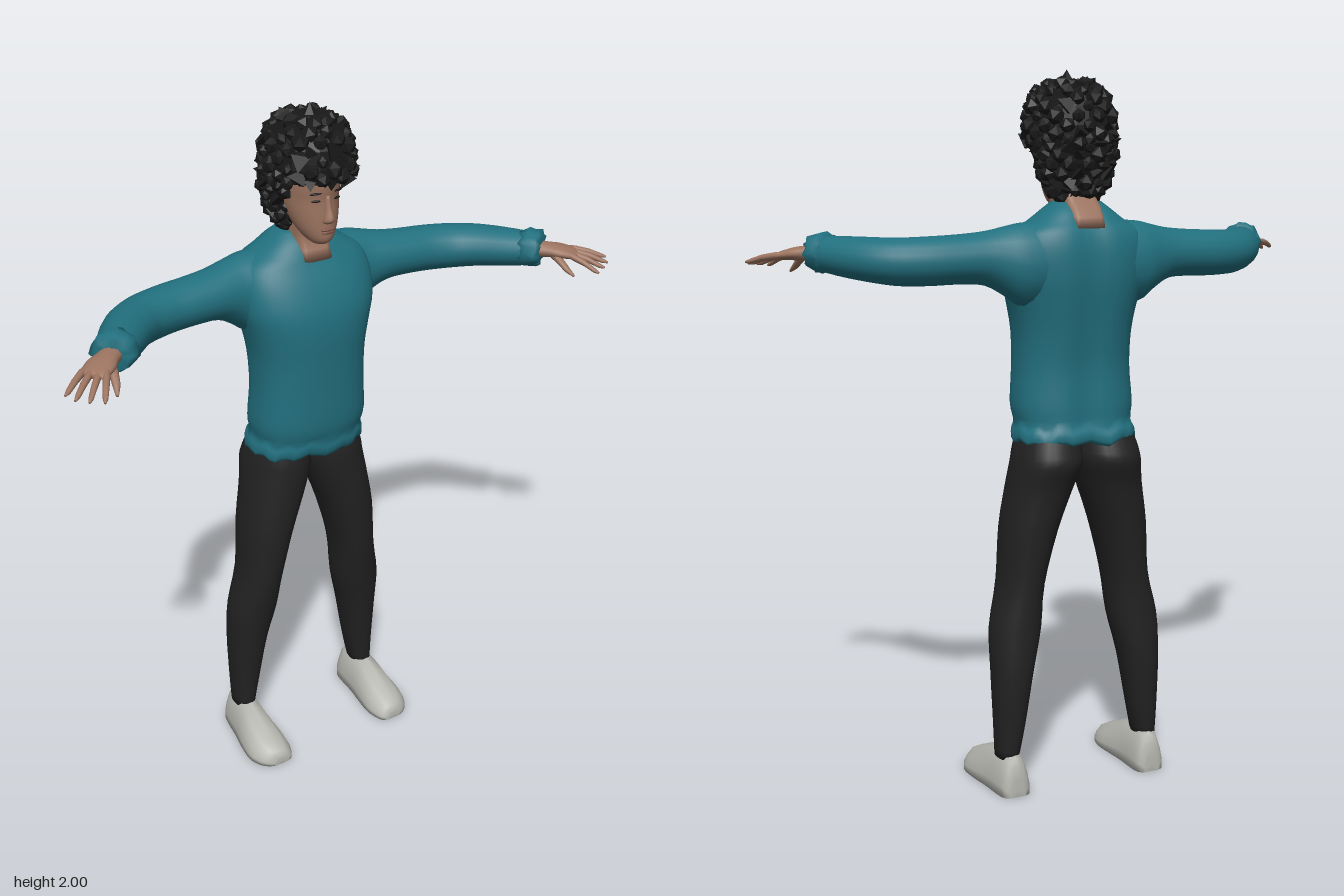
import * as THREE from 'three';
import { mergeGeometries } from 'three/addons/utils/BufferGeometryUtils.js';

const material = (name, color, extra = {}) => {
  const m = new THREE.MeshStandardMaterial({ color, ...extra });
  m.name = name;
  return m;
};

// Skin closed rows of points into a smooth capped surface; side = -1 mirrors it in x
function loft(rows, side = 1) {
  const n = rows[0].length, pos = [], index = [];
  const tri = (a, b, c) => (side > 0 ? index.push(a, b, c) : index.push(a, c, b));
  const add = (p) => pos.push(p[0] * side, p[1], p[2]);
  rows.forEach((row) => row.forEach(add));
  for (let i = 0; i < rows.length - 1; i++) {
    for (let j = 0; j < n; j++) {
      const a = i * n + j, b = i * n + ((j + 1) % n);
      tri(a, b, b + n);
      tri(a, b + n, a + n);
    }
  }
  [rows[0], rows[rows.length - 1]].forEach((row, end) => {
    const c = pos.length / 3, base = end ? (rows.length - 1) * n : 0;
    add([0, 1, 2].map((k) => row.reduce((s, p) => s + p[k], 0) / n));
    for (let j = 0; j < n; j++) {
      const a = base + j, b = base + ((j + 1) % n);
      end ? tri(c, a, b) : tri(c, b, a);
    }
  });
  const g = new THREE.BufferGeometry();
  g.setAttribute('position', new THREE.Float32BufferAttribute(pos, 3));
  g.setIndex(index);
  g.computeVertexNormals();
  return g;
}

// Catmull-Rom interpolation of every column of a section list
function refine(list, steps = 3) {
  const out = [], at = (i) => list[Math.min(Math.max(i, 0), list.length - 1)];
  for (let i = 0; i < list.length - 1; i++) {
    for (let s = 0; s < steps; s++) {
      const t = s / steps;
      out.push(list[i].map((b, k) => {
        const a = at(i - 1)[k], c = at(i + 1)[k], d = at(i + 2)[k];
        return b + 0.5 * t * (c - a + t * (2 * a - 5 * b + 4 * c - d + t * (3 * (b - c) + d - a)));
      }));
    }
  }
  out.push(list[list.length - 1]);
  return out;
}

const power = (v, p) => Math.sign(v) * Math.abs(v) ** (2 / p);

// Upright sections: [y, centre x, half width, front z, back z]
const upright = (list, n = 28, p = 2) => list.map(([y, cx, rx, zf, zb]) =>
  Array.from({ length: n }, (_, j) => {
    const a = (j / n) * Math.PI * 2;
    return [cx + rx * power(Math.cos(a), p), y, (zf + zb) / 2 - ((zf - zb) / 2) * power(Math.sin(a), p)];
  }));

// Sections along a sideways path: [x, y, z, half width, half height]
const along = (list, n = 20) => list.map(([x, y, z, w, h], i) => {
  const a = list[Math.max(i - 1, 0)], b = list[Math.min(i + 1, list.length - 1)];
  const l = Math.hypot(b[0] - a[0], b[2] - a[2]);
  const tx = (b[0] - a[0]) / l, tz = (b[2] - a[2]) / l;
  return Array.from({ length: n }, (_, j) => {
    const c = Math.cos((j / n) * Math.PI * 2) * w, s = Math.sin((j / n) * Math.PI * 2) * h;
    return [x + tz * c, y + s, z - tx * c];
  });
});

export function createModel() {
  const model = new THREE.Group();
  const teal = material('teal knit', 0x22707f);
  const skin = material('skin', 0x9c7460);
  const hairMat = material('black hair', 0x191919);
  const trousers = material('charcoal cloth', 0x222222);
  const shoeMat = material('pale grey shoe', 0xb8b8b2);
  const lipMat = material('lip', 0x84574a);
  const add = (name, geometry, mat) => {
    const m = new THREE.Mesh(geometry, mat);
    m.name = name;
    model.add(m);
    return m;
  };

  // Sweater body with a spine groove and a rumpled hem
  const body = upright(refine([
    [0.995, 0, 0.15, -0.02, -0.225], [1.0, 0, 0.174, 0.008, -0.243], [1.025, 0, 0.174, 0.018, -0.245],
    [1.05, 0, 0.165, 0.018, -0.232], [1.1, 0, 0.172, 0.03, -0.23], [1.2, 0, 0.165, 0.034, -0.225],
    [1.3, 0, 0.167, 0.038, -0.236], [1.38, 0, 0.182, 0.041, -0.248], [1.45, 0, 0.2, 0.034, -0.256],
    [1.52, 0, 0.2, 0.008, -0.255], [1.57, 0, 0.18, -0.02, -0.243], [1.6, 0, 0.135, -0.036, -0.225],
    [1.63, 0, 0.095, -0.055, -0.205], [1.65, 0, 0.07, -0.08, -0.18]]), 48, 2.4);
  body.forEach((row) => row.forEach((p, j) => {
    if (p[2] < -0.12) p[2] += 0.014 * Math.exp(-((p[0] / 0.04) ** 2));
    if (p[1] < 1.06) p[1] += 0.006 * Math.sin(j * 1.7) + 0.004 * Math.sin(j * 0.8);
  }));
  add('sweaterBody', loft(body), teal);

  // Neck, filling the square neckline front and back
  add('neck', loft(upright([
    [1.582, 0, 0.05, -0.016, -0.238], [1.61, 0, 0.05, -0.032, -0.225], [1.64, 0, 0.05, -0.045, -0.2],
    [1.665, 0, 0.048, -0.04, -0.17], [1.71, 0, 0.048, -0.03, -0.16]], 28, 5)), skin);

  // Head and facial features
  add('head', loft(upright(refine([
    [1.637, 0, 0.022, 0.004, -0.05], [1.65, 0, 0.037, 0.018, -0.08], [1.68, 0, 0.056, 0.021, -0.12],
    [1.72, 0, 0.069, 0.021, -0.16], [1.76, 0, 0.075, 0.02, -0.19], [1.8, 0, 0.078, 0.026, -0.2],
    [1.85, 0, 0.076, 0.022, -0.2], [1.9, 0, 0.055, -0.01, -0.17]]))), skin);
  add('nose', loft(upright(refine([
    [1.698, 0, 0.009, 0.024, 0], [1.704, 0, 0.016, 0.037, 0], [1.715, 0, 0.015, 0.043, 0],
    [1.74, 0, 0.01, 0.033, 0], [1.775, 0, 0.008, 0.024, 0]]), 14)), skin);
  const blob = (name, mat, x, y, z, sx, sy, sz, tilt = 0) => {
    const m = add(name, new THREE.SphereGeometry(1, 14, 8), mat);
    m.position.set(x, y, z);
    m.scale.set(sx, sy, sz);
    m.rotation.set(0, x * 10, tilt);
  };
  blob('upperLip', lipMat, 0, 1.682, 0.02, 0.022, 0.005, 0.007);
  blob('lowerLip', lipMat, 0, 1.674, 0.02, 0.018, 0.005, 0.006);

  const fingers = [
    [0.755, 0.128, 0.832, 1.49, 0.192], [0.742, 0.143, 0.818, 1.484, 0.217],
    [0.728, 0.158, 0.79, 1.48, 0.236], [0.715, 0.172, 0.757, 1.476, 0.25]];
  // Shoe section outline as fractions of half width and height
  const shoeOutline = [[1, 0], [1, 0.25], [0.85, 0.55], [0.5, 0.93], [0, 1], [-0.5, 0.93],
    [-0.85, 0.55], [-1, 0.25], [-1, 0], [-0.5, 0], [0, 0], [0.5, 0]];

  for (const side of [1, -1]) {
    const label = side > 0 ? 'left' : 'right';
    blob(label + 'Eye', hairMat, 0.032 * side, 1.762, 0.0115, 0.013, 0.0032, 0.004);
    blob(label + 'Brow', hairMat, 0.033 * side, 1.783, 0.014, 0.018, 0.003, 0.004, -0.1 * side);

    // Sleeve, bending forward at the elbow
    add(label + 'Sleeve', loft(along(refine([
      [0.1, 1.49, -0.145, 0.09, 0.11], [0.17, 1.485, -0.145, 0.088, 0.112], [0.215, 1.495, -0.14, 0.078, 0.093],
      [0.27, 1.504, -0.132, 0.073, 0.072], [0.34, 1.503, -0.126, 0.071, 0.066], [0.42, 1.5, -0.118, 0.069, 0.065],
      [0.5, 1.499, -0.092, 0.07, 0.063], [0.56, 1.504, -0.042, 0.068, 0.059], [0.615, 1.51, 0.03, 0.06, 0.053],
      [0.655, 1.515, 0.085, 0.05, 0.046]])), side), teal);
    // Rumpled cuff
    const cuff = along([[0.63, 1.515, 0.05, 0.05, 0.046], [0.643, 1.517, 0.068, 0.059, 0.054],
      [0.662, 1.517, 0.092, 0.057, 0.05], [0.668, 1.515, 0.1, 0.046, 0.04]]);
    cuff.forEach((row, i) => row.forEach((p, j) => {
      p[0] += 0.006 * Math.sin(j * 2.1 + i);
      p[1] += 0.004 * Math.sin(j * 1.3 + i * 2);
    }));
    add(label + 'Cuff', loft(cuff, side), teal);

    // Hand with four fingers and a thumb
    add(label + 'Palm', loft(along(refine([
      [0.645, 1.515, 0.073, 0.03, 0.024], [0.68, 1.515, 0.103, 0.031, 0.021], [0.71, 1.513, 0.129, 0.04, 0.018],
      [0.74, 1.508, 0.154, 0.038, 0.012], [0.75, 1.506, 0.162, 0.03, 0.006]]), 16), side), skin);
    fingers.forEach(([x, z, tx, ty, tz], i) => {
      const at = (f, r, lift = 0) => [x + (tx - x) * f, 1.508 + (ty - 1.508) * f + lift, z + (tz - z) * f, r, r];
      add(label + 'Finger' + (i + 1), loft(along([at(-0.15, 0.008), at(0.1, 0.0095, 0.003),
        at(0.5, 0.0085, 0.004), at(0.85, 0.0068), at(1, 0.003)], 10), side), skin);
    });
    add(label + 'Thumb', loft(along([[0.685, 1.51, 0.125, 0.012, 0.013], [0.69, 1.497, 0.155, 0.012, 0.012],
      [0.697, 1.477, 0.182, 0.01, 0.01], [0.706, 1.462, 0.204, 0.004, 0.004]], 10), side), skin);

    // Trouser leg
    add(label + 'TrouserLeg', loft(upright(refine([
      [0.1, 0.217, 0.031, -0.09, -0.185], [0.2, 0.209, 0.043, -0.083, -0.195], [0.35, 0.198, 0.058, -0.065, -0.205],
      [0.47, 0.183, 0.071, -0.045, -0.2], [0.6, 0.162, 0.063, -0.022, -0.2], [0.75, 0.138, 0.077, -0.01, -0.215],
      [0.87, 0.107, 0.089, -0.008, -0.23], [0.94, 0.09, 0.094, -0.008, -0.252], [0.98, 0.086, 0.09, -0.01, -0.242],
      [1.03, 0.08, 0.08, -0.02, -0.22]]), 28, 2.2), side), trousers);

    // Shoe, in sections from heel to toe: [z, centre x, half width, height]
    const shoe = refine([[-0.21, 0.212, 0.022, 0.055], [-0.2, 0.212, 0.038, 0.1], [-0.17, 0.213, 0.046, 0.122],
      [-0.1, 0.216, 0.052, 0.121], [-0.04, 0.218, 0.061, 0.1], [0.02, 0.218, 0.066, 0.073],
      [0.06, 0.215, 0.056, 0.055], [0.082, 0.21, 0.04, 0.04], [0.09, 0.208, 0.022, 0.022]])
      .map(([z, cx, w, h]) => shoeOutline.map(([u, v]) => [cx + u * w, v * h, z]));
    add(label + 'Shoe', loft(shoe, side), shoeMat);
  }

  // Hair mass, low on the nape and open over the face
  const dome = [[1.665, 0, 0.055, -0.1, -0.16], [1.7, 0, 0.083, -0.075, -0.185], [1.75, 0, 0.1, -0.058, -0.205],
    [1.795, 0, 0.106, -0.035, -0.212], [1.812, 0, 0.11, 0.036, -0.214], [1.85, 0, 0.114, 0.046, -0.215],
    [1.9, 0, 0.107, 0.04, -0.205], [1.94, 0, 0.083, 0.01, -0.175], [1.97, 0, 0.04, -0.04, -0.12]];
  const flat = loft(upright(dome, 20)).toNonIndexed();
  flat.computeVertexNormals();
  add('hairMass', flat, hairMat);

  // Faceted curls scattered over the hair
  let seed = 11;
  const rand = () => (seed = (seed * 16807) % 2147483647) / 2147483647;
  const curls = [], rows = upright(refine(dome, 2), 24);
  rows.forEach((row, i) => row.forEach((p, j) => {
    if ((i + j) % 2 || (p[1] < 1.81 && p[2] > -0.07) || p[1] > 1.96) return;
    const r = 0.015 + 0.012 * rand();
    const g = rand() < 0.3 ? new THREE.TetrahedronGeometry(r * 1.3) : new THREE.IcosahedronGeometry(r);
    g.rotateX(rand() * 6).rotateY(rand() * 6).translate(...p);
    curls.push(g);
  }));
  const tip = new THREE.ConeGeometry(0.03, 0.045, 5).toNonIndexed();
  tip.computeVertexNormals();
  curls.push(tip.translate(0, 1.9775, -0.07));
  add('hairCurls', mergeGeometries(curls), hairMat);

  return model;
}
